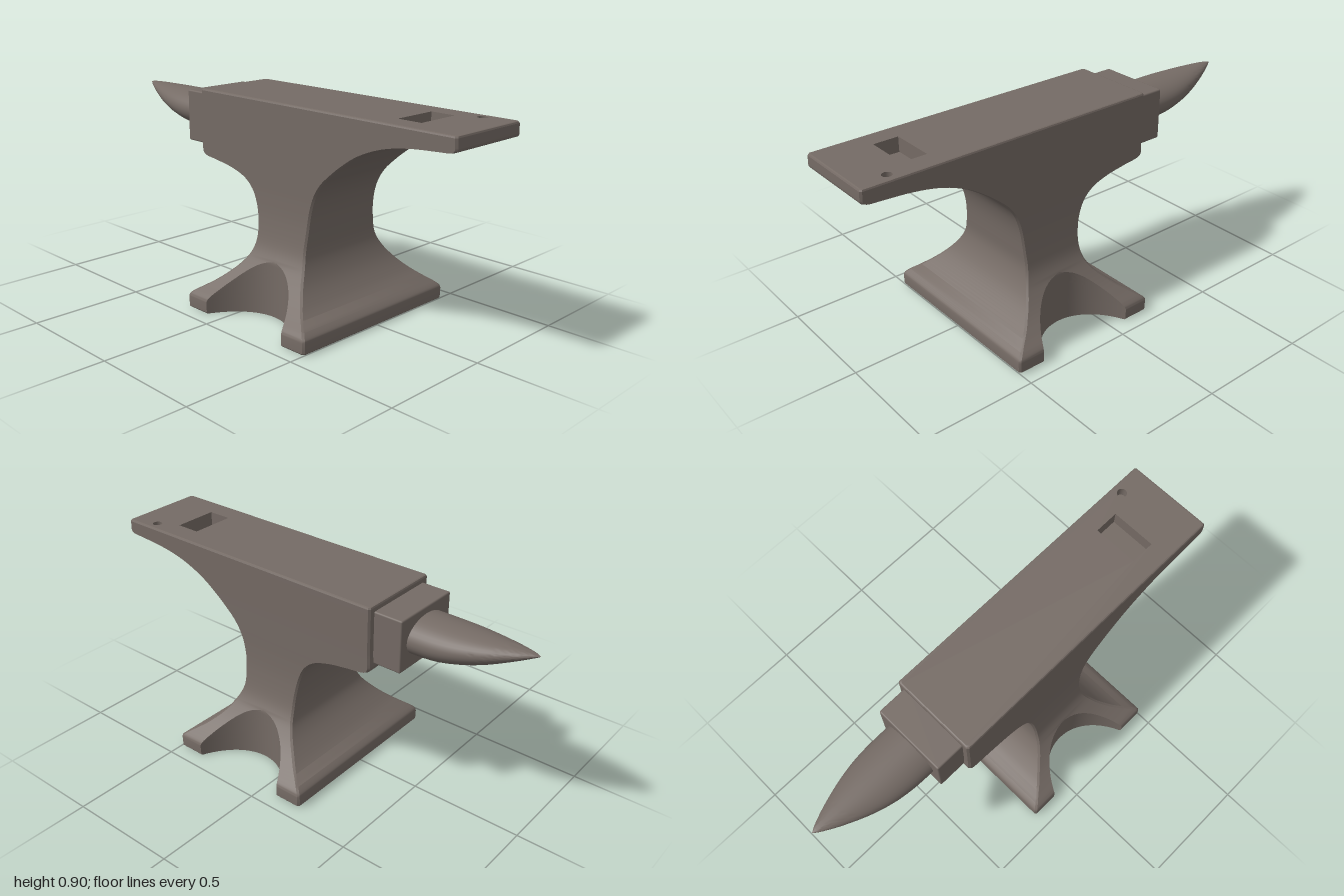
import * as THREE from 'three';
import { toCreasedNormals } from 'three/addons/utils/BufferGeometryUtils.js';
import { RoundedBoxGeometry } from 'three/addons/geometries/RoundedBoxGeometry.js';

const TOP = 0.905, MID = 0.147, NOTCH = 0.25;

// Smooth curve through [value, y] points, read as a function of y
function profile(points) {
  const pts = new THREE.CatmullRomCurve3(points.map(([v, y]) => new THREE.Vector3(v, y, 0))).getPoints(200);
  return (y) => {
    const i = pts.findIndex((p) => p.y >= y);
    if (i < 0) return pts[pts.length - 1].x;
    if (i === 0) return pts[0].x;
    const a = pts[i - 1], b = pts[i];
    return a.x + (b.x - a.x) * (y - a.y) / (b.y - a.y);
  };
}

const leftEdge = profile([[-0.205, 0], [-0.205, 0.055], [-0.195, 0.068], [-0.11, 0.13], [-0.04, 0.2], [-0.01, 0.25],
  [0, 0.31], [-0.003, 0.37], [-0.02, 0.45], [-0.05, 0.512], [-0.1, 0.555], [-0.18, 0.583], [-0.28, 0.6],
  [-0.36, 0.612], [-0.375, 0.625], [-0.375, 0.7], [-0.375, TOP]]);
const rightEdge = profile([[0.5, 0], [0.5, 0.055], [0.49, 0.068], [0.4, 0.135], [0.335, 0.21], [0.295, 0.3],
  [0.293, 0.38], [0.303, 0.48], [0.325, 0.55], [0.36, 0.605], [0.41, 0.653], [0.475, 0.705], [0.55, 0.754],
  [0.64, 0.793], [0.72, 0.815], [0.82, 0.83], [0.93, 0.838], [0.985, 0.843], [0.998, 0.852], [0.998, 0.88], [0.998, TOP]]);
const halfDepth = profile([[0.43, 0], [0.43, 0.055], [0.42, 0.07], [0.38, 0.103], [0.325, 0.152], [0.28, 0.202],
  [0.245, 0.25], [0.222, 0.3], [0.203, 0.4], [0.196, 0.5], [0.195, 0.6], [0.195, TOP]]);

// Half width of the foot notch at depth z
const notchWidth = (z) => Math.sqrt(Math.max(0, 0.04 - (z - 0.45) ** 2)) + 0.03 * ((z - NOTCH) / 0.18) ** 2;

// Skin over a list of closed rings
function loft(rings) {
  const pos = [], n = rings[0].length;
  for (let i = 0; i < rings.length - 1; i++) {
    for (let j = 0; j < n; j++) {
      const k = (j + 1) % n;
      const a = rings[i][j], b = rings[i][k], c = rings[i + 1][k], d = rings[i + 1][j];
      pos.push(...a, ...b, ...c, ...a, ...c, ...d);
    }
  }
  const g = new THREE.BufferGeometry();
  g.setAttribute('position', new THREE.Float32BufferAttribute(pos, 3));
  return toCreasedNormals(g, 0.42);
}

// Outline of the body at one height, notched front and back in the foot
function bodyRing(y, inset) {
  const c = 0.008, xl = leftEdge(y) + inset, xr = rightEdge(y) - inset, h = halfDepth(y) - inset;
  const front = [[xl, y, h - c], [xl + c, y, h]];
  const steps = 32;
  for (let i = 0; i <= steps; i++) {
    const s = (i / steps) * 2 - 1;
    const z = h > NOTCH ? NOTCH + (h - NOTCH) * s * s : h;
    const dx = h > NOTCH ? Math.sign(s) * notchWidth(z) : s * 0.002;
    front.push([MID + dx, y, z]);
  }
  front.push([xr - c, y, h], [xr, y, h - c]);
  return front.concat(front.map(([x, yy, z]) => [x, yy, -z]).reverse());
}

// Box or cylinder turned inside out to line a hole
function lining(g) {
  g.scale(-1, 1, 1);
  g.computeVertexNormals();
  return g;
}

export function createModel() {
  const group = new THREE.Group();
  const iron = new THREE.MeshStandardMaterial({ color: 0x756b65 });
  iron.name = 'grey iron';
  const add = (name, geometry, x = 0, y = 0, z = 0) => {
    const mesh = new THREE.Mesh(geometry, iron);
    mesh.name = name;
    mesh.position.set(x, y, z);
    group.add(mesh);
  };

  // Body: foot, waist and heel in one skin, finer where the profile runs flat
  const rings = [bodyRing(0, 0.004), bodyRing(0.005, 0)];
  let from = 0.005;
  for (const [to, n] of [[0.05, 1], [0.08, 6], [0.3, 24], [0.53, 18], [0.63, 34], [0.8, 26], [0.86, 36], [0.897, 1]]) {
    for (let i = 1; i <= n; i++) rings.push(bodyRing(from + (to - from) * i / n, 0));
    from = to;
  }
  rings.push(bodyRing(0.903, 0.003), bodyRing(TOP, 0.008));
  add('body', loft(rings));

  // Underside of the foot
  const foot = new THREE.Shape(rings[0].map(([x, , z]) => new THREE.Vector2(x, z)));
  add('footUnderside', new THREE.ShapeGeometry(foot).rotateX(Math.PI / 2));

  // Working face with the square and round holes
  const hole = { x: 0.715, w: 0.11, d: 0.2, deep: 0.065 };
  const pin = { x: 0.862, z: -0.148, r: 0.021, deep: 0.045 };
  const last = rings[rings.length - 1];
  const face = new THREE.Shape(last.map(([x, , z]) => new THREE.Vector2(x, -z)));
  const [hw, hd] = [hole.w / 2, hole.d / 2];
  face.holes.push(
    new THREE.Path([[-hw, -hd], [-hw, hd], [hw, hd], [hw, -hd]].map(([x, z]) => new THREE.Vector2(hole.x + x, z))),
    new THREE.Path().absarc(pin.x, -pin.z, pin.r, 0, Math.PI * 2, true),
  );
  add('workingFace', new THREE.ShapeGeometry(face, 12).rotateX(-Math.PI / 2), 0, TOP, 0);
  add('squareHole', lining(new THREE.BoxGeometry(hole.w, hole.deep, hole.d)), hole.x, TOP - hole.deep / 2, 0);
  add('roundHole', lining(new THREE.CylinderGeometry(pin.r, pin.r, pin.deep, 24)), pin.x, TOP - pin.deep / 2, pin.z);

  // Step between the face and the horn
  add('step', new RoundedBoxGeometry(0.155, 0.23, 0.33, 2, 0.007), -0.4275, 0.765, 0);

  // Horn: elliptical sections with a nearly flat top, tapering to a point
  const under = new THREE.SplineCurve([[-0.48, 0.684], [-0.6, 0.69], [-0.7, 0.711], [-0.8, 0.744], [-0.9, 0.789],
    [-0.97, 0.824], [-1, 0.84]].map((p) => new THREE.Vector2(...p)));
  const side = new THREE.SplineCurve([[-0.48, 0.128], [-0.6, 0.126], [-0.7, 0.115], [-0.8, 0.09], [-0.9, 0.053],
    [-0.97, 0.02], [-1, 0.001]].map((p) => new THREE.Vector2(...p)));
  const horn = [];
  for (let i = 0; i <= 36; i++) {
    const u = under.getPoint(i / 36), w = side.getPoint(i / 36).y;
    const top = 0.85 - 0.009 * (i / 36) ** 6;
    const cy = (top + u.y) / 2, ry = (top - u.y) / 2;
    horn.push(Array.from({ length: 40 }, (_, j) => {
      const a = j / 40 * Math.PI * 2;
      return [u.x, cy + ry * Math.sin(a), w * Math.cos(a)];
    }));
  }
  add('horn', loft(horn));

  return group;
}
